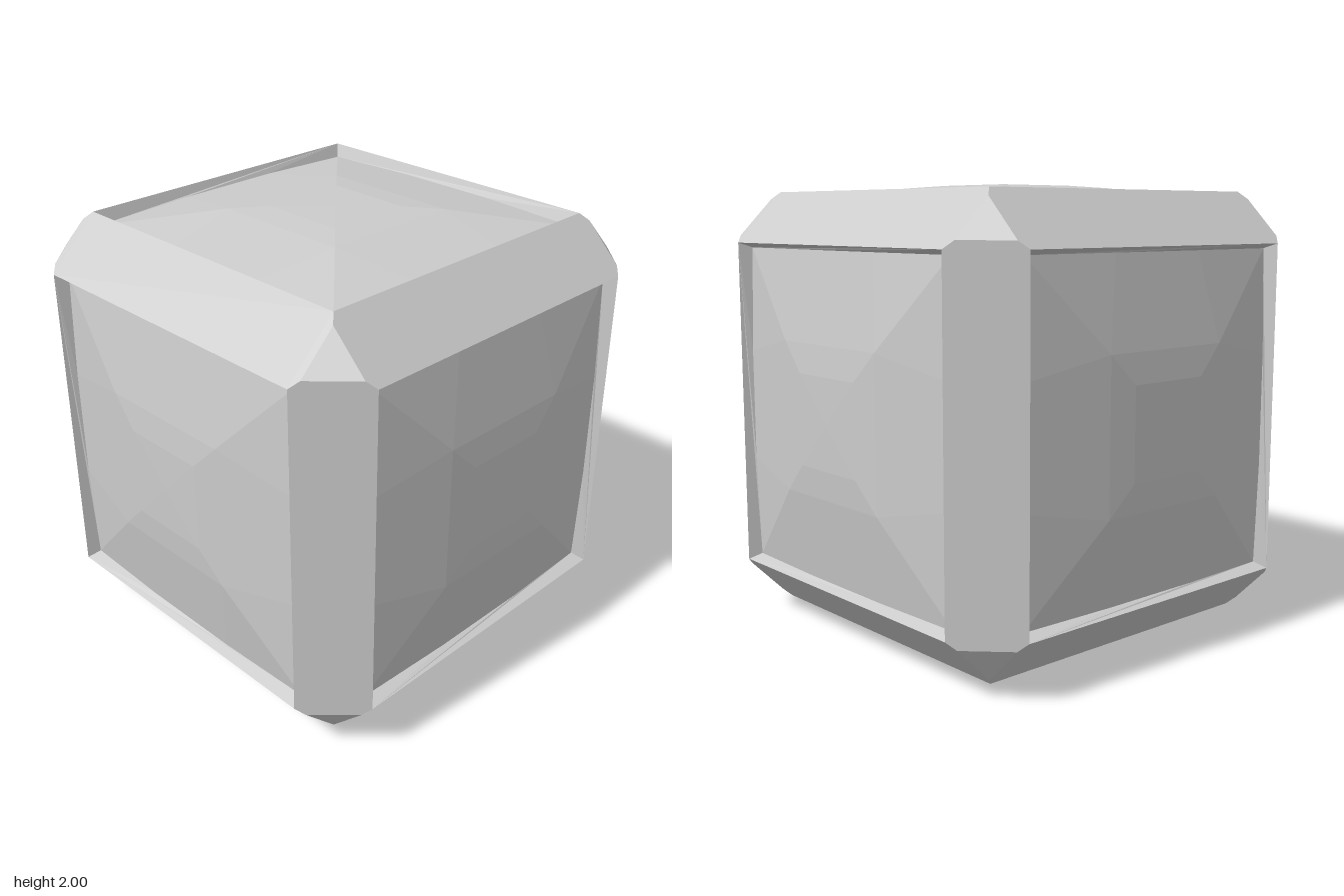
import * as THREE from 'three';

const OUT = 0.97;   // outer plane of the frame
const IN = 0.742;   // where bars, panels and caps meet
const Q = Math.PI / 2;

// Flat-shaded geometry from convex polygons, corners counter-clockwise
function polygons(list) {
  const pos = [];
  for (const p of list) {
    for (let i = 1; i < p.length - 1; i++) pos.push(...p[0], ...p[i], ...p[i + 1]);
  }
  const g = new THREE.BufferGeometry();
  g.setAttribute('position', new THREE.Float32BufferAttribute(pos, 3));
  g.computeVertexNormals();
  return g;
}

// Faceted bulging panel in a sloped recess: one quarter turned four times
function panelGeometry() {
  const R = 0.72;
  const mid = [0, 0, 1];
  const a = s => [s * 0.2, 0.2, 0.998];
  const b = s => [s * 0.33, 0.33, 0.986];
  const c = s => [s * 0.25, R, 0.925];
  const d = s => [s * R, R, 0.91];
  const e = s => [s * IN, IN, OUT];
  const quarter = [
    [mid, a(1), a(-1)],
    [a(1), b(1), b(-1), a(-1)],
    [b(1), c(1), c(-1), b(-1)],
    [b(1), [R, 0.25, 0.925], d(1), c(1)],
    [e(1), e(-1), d(-1), c(-1), c(1), d(1)],
  ];
  const all = [];
  for (let k = 0; k < 4; k++) {
    const cos = Math.round(Math.cos(k * Q)), sin = Math.round(Math.sin(k * Q));
    for (const p of quarter) {
      all.push(p.map(([x, y, z]) => [x * cos - y * sin, x * sin + y * cos, z]));
    }
  }
  return polygons(all);
}

// Chamfer bar along the top front edge
function barGeometry() {
  return polygons([[[-IN, IN, OUT], [IN, IN, OUT], [IN, OUT, IN], [-IN, OUT, IN]]]);
}

// Slightly raised triangular cap with bevelled sides
function capGeometry() {
  const tri = (s, l) => [[s, s, l], [l, s, s], [s, l, s]];
  const low = tri(IN, OUT), high = tri(0.775, 0.937);
  const faces = [high];
  for (let i = 0; i < 3; i++) {
    const j = (i + 1) % 3;
    faces.push([low[i], low[j], high[j], high[i]]);
  }
  return polygons(faces);
}

export function createModel() {
  const model = new THREE.Group();
  model.name = 'bevelledCube';
  const material = new THREE.MeshStandardMaterial({ color: 0xcccccc, flatShading: true });
  const body = new THREE.Group();
  body.name = 'body';
  body.position.y = 1;
  model.add(body);

  const add = (name, geometry, x, y, z, order = 'XYZ') => {
    const m = new THREE.Mesh(geometry, material);
    m.name = name;
    m.rotation.set(x, y, z, order);
    body.add(m);
  };

  // Six panels
  const panel = panelGeometry();
  ['front', 'left', 'back', 'right'].forEach((n, k) => add(n + 'Panel', panel, 0, k * Q, 0));
  add('topPanel', panel, -Q, 0, 0);
  add('bottomPanel', panel, Q, 0, 0);

  // Twelve edge bars: four along each axis
  const bar = barGeometry();
  for (let k = 0; k < 4; k++) {
    add('edgeBarX', bar, k * Q, 0, 0);
    add('edgeBarY', bar, k * Q, 0, Q, 'ZYX');
    add('edgeBarZ', bar, k * Q, Q, 0, 'ZYX');
  }

  // Eight corner caps: four on top, four flipped below
  const cap = capGeometry();
  for (let k = 0; k < 4; k++) {
    add('topCornerCap', cap, 0, k * Q, 0);
    add('bottomCornerCap', cap, Math.PI, k * Q, 0);
  }
  return model;
}
